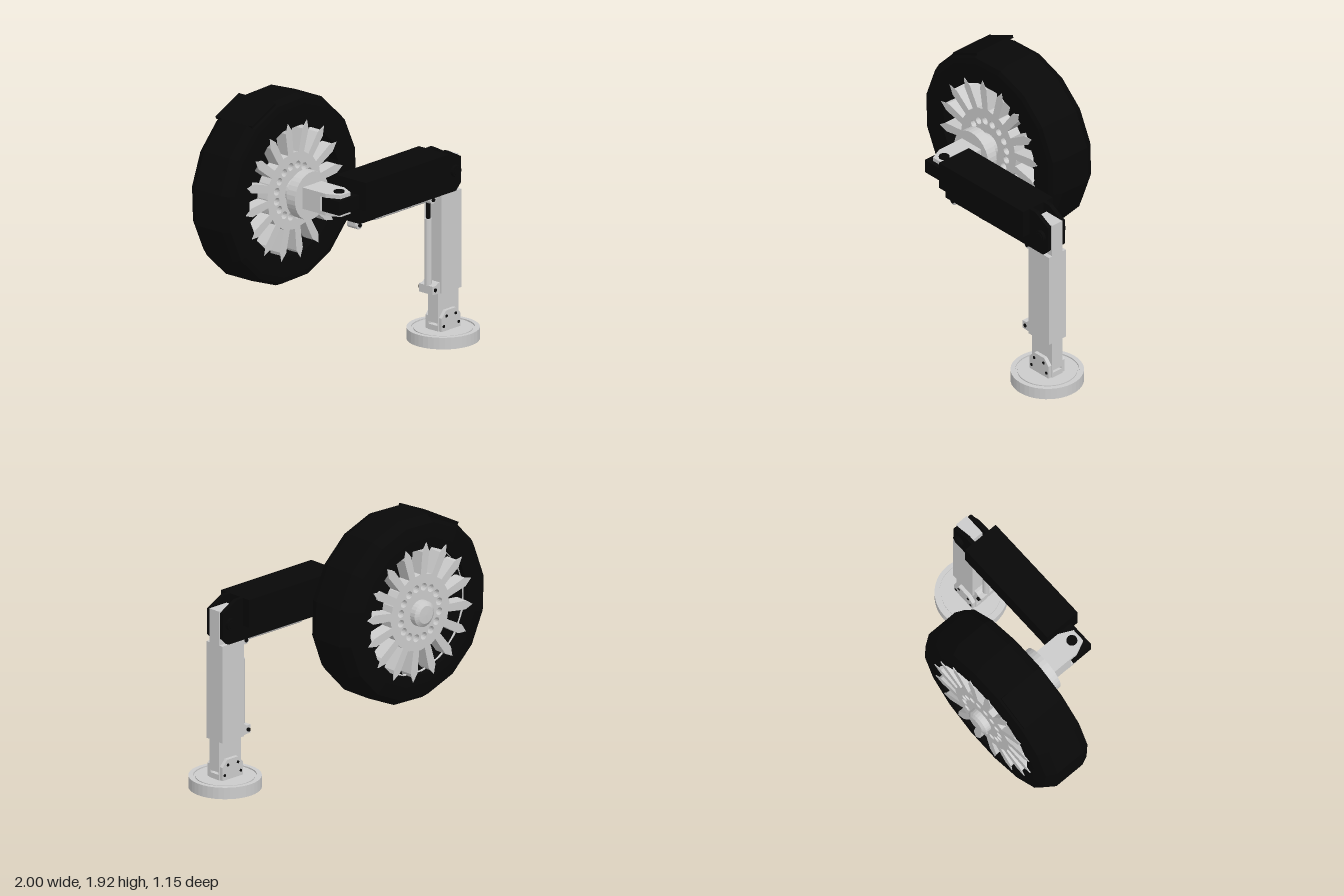
import * as THREE from 'three';

const grey = new THREE.MeshStandardMaterial({ color: 0xcccccc, flatShading: true, side: THREE.DoubleSide });
const black = new THREE.MeshStandardMaterial({ color: 0x080808, flatShading: true, side: THREE.DoubleSide });

export function createModel() {
  const model = new THREE.Group();
  const add = (parent, name, geometry, material = grey) => {
    const mesh = new THREE.Mesh(geometry, material);
    mesh.name = name;
    parent.add(mesh);
    return mesh;
  };
  const group = (name, x = 0, y = 0, z = 0) => {
    const g = new THREE.Group();
    g.name = name;
    g.position.set(x, y, z);
    model.add(g);
    return g;
  };
  // Box from its limits on each axis
  const box = (x0, x1, y0, y1, z0, z1) =>
    new THREE.BoxGeometry(x1 - x0, y1 - y0, z1 - z0).translate((x0 + x1) / 2, (y0 + y1) / 2, (z0 + z1) / 2);
  // Cylinder along an axis, from a to b, with the two other coordinates in x, y, z order
  const rod = (axis, r, a, b, u, v, sides = 16) => {
    const g = new THREE.CylinderGeometry(r, r, b - a, sides);
    const m = (a + b) / 2;
    if (axis === 'x') return g.rotateZ(Math.PI / 2).translate(m, u, v);
    if (axis === 'z') return g.rotateX(Math.PI / 2).translate(u, v, m);
    return g.translate(u, m, v);
  };
  const polygon = pts => new THREE.Shape(pts.map(p => new THREE.Vector2(...p)));
  // Outline in x, y extruded from z0 to z1
  const plate = (shape, z0, z1) =>
    new THREE.ExtrudeGeometry(shape, { depth: z1 - z0, bevelEnabled: false, curveSegments: 8 }).translate(0, 0, z0);
  const lathe = (pts, sides, start = 0) =>
    new THREE.LatheGeometry(pts.map(p => new THREE.Vector2(...p)), sides, start);

  // ---- Wheel ----
  const wheel = group('wheel', -0.32, 1.238, 0);
  const step = Math.PI / 8;
  const start = THREE.MathUtils.degToRad(13.4);
  add(wheel, 'tyre', lathe([[0.47, -0.51], [0.54, -0.51], [0.64, -0.49], [0.687, -0.42], [0.687, -0.18],
    [0.66, -0.12], [0.62, -0.11], [0.47, -0.11], [0.47, -0.51]], 16, start + Math.PI / 2).rotateX(Math.PI / 2), black);
  // Square-edged tread panel on one segment
  const panel = add(wheel, 'treadPanel', new THREE.BoxGeometry(0.02, 0.268, 0.34), black);
  const panelAngle = start + 4.5 * step;
  panel.position.set(0.664 * Math.cos(panelAngle), 0.664 * Math.sin(panelAngle), -0.31);
  panel.rotation.z = panelAngle;
  add(wheel, 'rimWeb', rod('z', 0.475, -0.42, -0.2, 0, 0, 32), black);

  // Perforated hub plate and pointed spokes on both faces
  const hub = new THREE.Shape().absarc(0, 0, 0.28, 0, Math.PI * 2);
  for (let i = 0; i < 16; i++) {
    const a = (i + 0.5) * step;
    hub.holes.push(new THREE.Path().absarc(0.185 * Math.cos(a), 0.185 * Math.sin(a), 0.028, 0, Math.PI * 2, true));
  }
  const spoke = polygon([[0.25, -0.027], [0.44, -0.033], [0.505, 0], [0.44, 0.033], [0.25, 0.027]]);
  for (const [side, z0, z1] of [['front', -0.21, -0.107], ['back', -0.517, -0.41]]) {
    add(wheel, side + 'HubPlate', plate(hub, z0, z1));
    for (let i = 0; i < 16; i++) {
      add(wheel, side + 'Spoke', plate(spoke, z0, z1)).rotation.z = THREE.MathUtils.degToRad(7.3) + i * step;
    }
  }
  add(wheel, 'rimRing', new THREE.TorusGeometry(0.465, 0.008, 6, 48).translate(0, 0, -0.46));

  // ---- Axle ----
  const axle = group('axle', -0.32, 1.238, 0);
  add(axle, 'shaft', rod('z', 0.095, -0.5, 0, 0, 0, 24));
  add(axle, 'axleCap', lathe([[0, -0.58], [0.065, -0.578], [0.093, -0.56], [0.095, -0.5]], 24).rotateX(Math.PI / 2));
  add(axle, 'flange', rod('z', 0.173, -0.025, 0.055, 0, 0, 32));

  // ---- Clevis between axle and arm ----
  const clevis = group('clevis');
  add(clevis, 'clevisBlock', box(-0.415, -0.22, 1.165, 1.32, 0.05, 0.22));
  const ear = polygon([[-0.415, 0.2], [-0.415, 0.27], [-0.37, 0.37], [-0.27, 0.37], [-0.22, 0.27], [-0.22, 0.2]]);
  for (const y of [1.19, 1.32]) {
    add(clevis, 'clevisEar', plate(ear, 0, 0.028).rotateX(Math.PI / 2).translate(0, y, 0));
  }
  add(clevis, 'clevisPin', rod('y', 0.038, 1.155, 1.33, -0.32, 0.31), black);
  add(clevis, 'armTongue', box(-0.42, -0.2, 1.19, 1.29, 0.24, 0.4), black);

  // ---- Arm with fork ----
  const arm = group('arm');
  add(arm, 'armBody', box(-0.21, 0.65, 1.185, 1.39, 0.18, 0.46), black);
  add(arm, 'armKeel', box(-0.21, 0.65, 1.08, 1.19, 0.24, 0.4), black);
  const cheek = polygon([[0.6, 1.08], [0.79, 1.08], [0.84, 1.13], [0.84, 1.32], [0.71, 1.39], [0.6, 1.39]]);
  for (const z of [0.24, 0.37]) add(arm, 'forkCheek', plate(cheek, z, z + 0.03), black);
  add(arm, 'forkPin', rod('z', 0.03, 0.21, 0.43, 0.775, 1.23), black);
  for (const z of [0.215, 0.4]) add(arm, 'forkPinHead', rod('z', 0.043, z, z + 0.025, 0.775, 1.23), black);

  // ---- Leg ----
  const leg = group('leg');
  add(leg, 'legTop', box(0.685, 0.848, 1.07, 1.33, 0.272, 0.368));
  add(leg, 'legSleeve', box(0.64, 0.848, 0.365, 1.08, 0.24, 0.4));
  // Inner post with a slot above the foot
  add(leg, 'legPost', box(0.64, 0.848, 0.14, 0.38, 0.272, 0.368));
  add(leg, 'legPostFoot', box(0.64, 0.848, 0.06, 0.122, 0.272, 0.368));
  for (const z of [0.272, 0.36]) add(leg, 'slotSide', box(0.64, 0.848, 0.12, 0.142, z, z + 0.008));
  const mount = polygon([[0.647, 0.08], [0.84, 0.08], [0.84, 0.18], [0.795, 0.23], [0.692, 0.23], [0.647, 0.18]]);
  for (const [z, dz] of [[0.245, -0.004], [0.368, 0.026]]) {
    add(leg, 'mountPlate', plate(mount, z, z + 0.027));
    for (const [x, y] of [[0.667, 0.12], [0.82, 0.12], [0.695, 0.19], [0.79, 0.19]]) {
      add(leg, 'mountBolt', rod('z', 0.011, z + dz, z + dz + 0.006, x, y, 8), black);
    }
  }

  // ---- Foot disc with a shallow groove ----
  const foot = group('foot', 0.745, 0, 0.32);
  add(foot, 'footDisc', lathe([[0, 0], [0.255, 0], [0.255, 0.085], [0.222, 0.085], [0.222, 0.075],
    [0.208, 0.075], [0.208, 0.083], [0, 0.083]], 40));

  // ---- Actuators under the arm and beside the leg ----
  const actuators = group('actuators');
  const lug = (x, y) => {
    add(actuators, 'lug', rod('z', 0.03, 0.275, 0.365, x, y));
    add(actuators, 'lugPin', rod('z', 0.014, 0.265, 0.375, x, y, 10), black);
  };
  add(actuators, 'armCylinder', rod('x', 0.021, 0.03, 0.59, 1.053, 0.32));
  add(actuators, 'armPiston', rod('x', 0.014, -0.17, 0.04, 1.053, 0.32), black);
  add(actuators, 'armLugMount', box(-0.205, -0.125, 1.05, 1.085, 0.285, 0.355));
  add(actuators, 'legLugMount', box(0.59, 0.65, 1.035, 1.075, 0.285, 0.355));
  lug(-0.17, 1.053);
  lug(0.59, 1.053);
  add(actuators, 'legCylinder', rod('y', 0.025, 0.4, 0.91, 0.59, 0.32));
  add(actuators, 'legPiston', rod('y', 0.015, 0.9, 1.05, 0.59, 0.32), black);
  const bracket = polygon([[0.565, 0.37], [0.65, 0.365], [0.65, 0.445], [0.62, 0.445], [0.6, 0.43], [0.565, 0.43]]);
  add(actuators, 'legBracket', plate(bracket, 0.255, 0.385));
  add(actuators, 'bracketPin', rod('z', 0.014, 0.24, 0.39, 0.59, 0.4, 10), black);

  return model;
}
